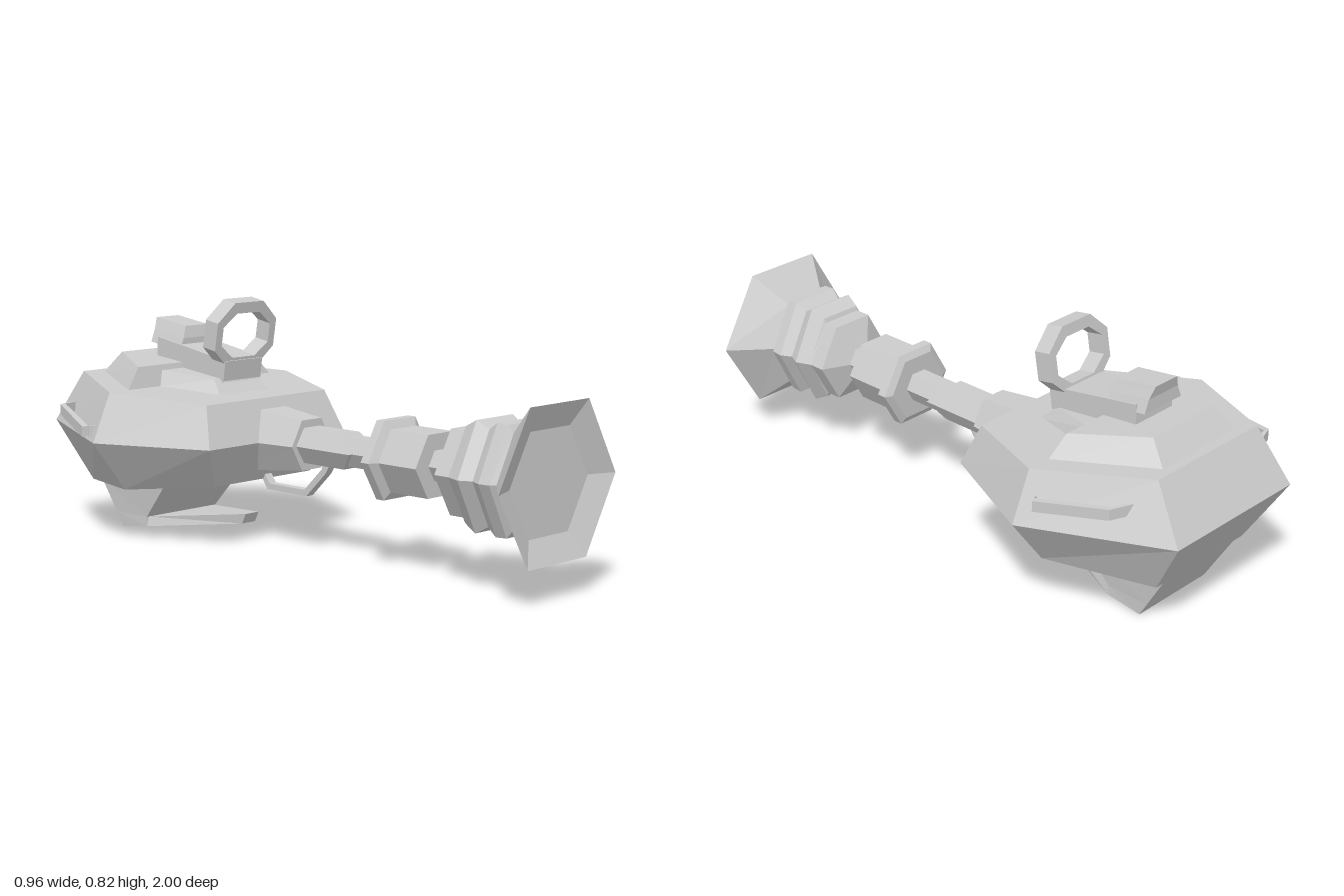
import * as THREE from 'three';

const CX = 0.015, CY = 0.36; // barrel axis

export function createModel() {
  const group = new THREE.Group();
  const mat = new THREE.MeshStandardMaterial({ color: 0xcccccc, flatShading: true, side: THREE.DoubleSide });

  const add = (name, geo) => {
    const mesh = new THREE.Mesh(geo, mat);
    mesh.name = name;
    group.add(mesh);
    return mesh;
  };

  // Skins a row of equal-sized rings, caps both ends and turns faces outward
  function loft(rings) {
    const n = rings[0].length, pos = rings.flat(2), tris = [];
    for (let r = 0; r < rings.length - 1; r++) {
      for (let i = 0; i < n; i++) {
        const a = r * n + i, b = r * n + (i + 1) % n;
        tris.push([a, b, b + n], [a, b + n, a + n]);
      }
    }
    const last = (rings.length - 1) * n;
    for (let i = 1; i < n - 1; i++) {
      tris.push([0, i + 1, i], [last, last + i, last + i + 1]);
    }
    const v = (i) => new THREE.Vector3().fromArray(pos, i * 3);
    const volume = tris.reduce((s, [a, b, c]) => s + v(a).dot(v(b).cross(v(c))), 0);
    const geo = new THREE.BufferGeometry();
    geo.setAttribute('position', new THREE.Float32BufferAttribute(pos, 3));
    geo.setIndex(tris.flatMap(([a, b, c]) => (volume < 0 ? [a, c, b] : [a, b, c])));
    const flat = geo.toNonIndexed();
    flat.computeVertexNormals();
    return flat;
  }

  // Six-sided section across the barrel; points at the sides, flats on top and bottom
  const hex = ([z, rx, ry = rx * 0.866, nose = 0]) => Array.from({ length: 6 }, (_, i) => {
    const a = i * Math.PI / 3;
    return [CX + rx * Math.cos(a), CY + ry * Math.sin(a) / 0.866, z + (i % 3 === 0 ? nose : 0)];
  });
  const hexLoft = (name, profile) => add(name, loft(profile.map(hex)));

  // Mirrors right-hand points [x, y, z] into a closed ring
  const mirrored = (pts) => [...pts, ...pts.map(([x, y, z]) => [-x, y, z]).reverse()];

  // Extrudes a side outline of [z, y] points across x
  function sideExtrude(name, pts, width) {
    const shape = new THREE.Shape(pts.map(([z, y]) => new THREE.Vector2(z, y)));
    const geo = new THREE.ExtrudeGeometry(shape, { depth: width, bevelEnabled: false });
    geo.translate(0, 0, -width / 2).rotateY(-Math.PI / 2).translate(CX, 0, 0);
    return add(name, geo);
  }

  // Flared mouth with shallow recess
  hexLoft('muzzleHorn', [[0.965, 0.185], [1, 0.277], [0.888, 0.15, 0.145]]);

  // Bellows, ending in a taper to the pipe
  hexLoft('bellows', [
    [0.89, 0.15, 0.148], [0.875, 0.168, 0.17], [0.835, 0.17, 0.172], [0.797, 0.15, 0.148],
    [0.755, 0.17, 0.172], [0.706, 0.15, 0.148], [0.7, 0.148, 0.133], [0.645, 0.148, 0.133], [0.604, 0.055],
  ]);

  hexLoft('barrelPipe', [[0.62, 0.055], [-0.1, 0.055]]);
  hexLoft('barrelCollar', [[0.54, 0.115], [0.385, 0.115], [0.37, 0.145], [0.338, 0.145], [0.325, 0.12]]);
  hexLoft('barrelSleeve', [[0.16, 0.071, 0.058, 0.055], [-0.1, 0.071, 0.058]]);
  hexLoft('barrelSocket', [[-0.02, 0.09, 0.083], [-0.24, 0.118, 0.106]]);

  // Faceted main body: floor, waist and shoulder rings
  add('body', loft([
    [[0.22, 0.22, -0.235], [0.348, 0.188, -0.54], [0.21, 0.165, -0.877]],
    [[0.31, 0.36, -0.16], [0.48, 0.36, -0.54], [0.272, 0.37, -1]],
    [[0.272, 0.497, -0.215], [0.408, 0.522, -0.54], [0.235, 0.547, -0.888]],
  ].map(mirrored)));

  // Raised decks on the roof
  add('rearDeck', loft([
    [[0.33, 0.515, -0.54], [0.175, 0.535, -0.86]],
    [[0.265, 0.592, -0.56], [0.143, 0.615, -0.79]],
  ].map(mirrored)));
  add('frontDeck', loft([
    [[0.115, 0.5, -0.32], [0.2, 0.515, -0.57]],
    [[0.095, 0.553, -0.37], [0.17, 0.575, -0.57]],
  ].map(mirrored)));

  // Sight rail and rear sight block
  sideExtrude('sightRail', [[-0.35, 0.54], [-0.39, 0.622], [-0.685, 0.67], [-0.69, 0.56]], 0.17);
  const block = (z, y, w) => [[CX - w, y, z], [CX + w, y, z], [CX + w, y + 0.02, z - 0.15], [CX - w, y + 0.02, z - 0.15]];
  add('rearSight', loft([block(-0.57, 0.63, 0.085), block(-0.57, 0.672, 0.068), block(-0.58, 0.712, 0.05)]));

  // Octagonal ring sight, leaning forward on its stem
  const octagon = (rx, ry) => [[0.48, -1], [1, -0.42], [1, 0.42], [0.48, 1], [-0.48, 1], [-1, 0.42], [-1, -0.42], [-0.48, -1]]
    .map(([x, y]) => new THREE.Vector2(x * rx, y * ry));
  const ring = new THREE.Shape(octagon(0.134, 0.113));
  ring.holes.push(new THREE.Path(octagon(0.106, 0.076)));
  const ringGeo = new THREE.ExtrudeGeometry(ring, { depth: 0.06, bevelEnabled: false });
  ringGeo.translate(0, 0, -0.03).rotateX(0.17).translate(CX, 0.702, -0.361);
  add('ringSight', ringGeo);
  sideExtrude('ringSightStem', [[-0.352, 0.545], [-0.342, 0.612], [-0.405, 0.622], [-0.415, 0.55]], 0.17);

  // Trigger guard
  sideExtrude('triggerGuard', [
    [0.075, 0.3], [0.055, 0.27], [-0.03, 0.187], [-0.215, 0.187], [-0.255, 0.245],
    [-0.235, 0.25], [-0.205, 0.207], [-0.04, 0.207], [0.04, 0.285], [0.045, 0.3],
  ], 0.03);

  // Wedge under the body with a tapering tongue reaching forward
  add('keelWedge', loft([
    [[0.176, 0.23, -0.51], [0.176, 0.21, -0.855]],
    [[0.173, 0.185, -0.535], [0.173, 0.165, -0.875]],
    [[0.16, 0.053, -0.65], [0.163, 0.053, -0.807]],
    [[0.16, 0.02, -0.65], [0.16, 0.003, -0.777]],
  ].map(mirrored)));
  add('keelTongue', loft([
    [[0.03, 0.095, -0.29], [0.03, 0.06, -0.307]],
    [[0.152, 0.053, -0.65], [0.16, 0.02, -0.65]],
  ].map(mirrored)));

  // Carrying handles, one on each flank
  function handle(name, path, depth) {
    const h = 0.018;
    add(name, loft(path.map(([x, y, z, ix, iz]) => [
      [x, y - h, z], [x, y + h, z], [x - ix * depth, y + h, z + iz * depth], [x - ix * depth, y - h, z + iz * depth],
    ])));
  }
  handle('leftHandle', [[0.4, 0.435, -0.575, 0, 1], [0.455, 0.435, -0.595, 1, 0.6], [0.365, 0.455, -0.815, 1, 0.3], [0.29, 0.455, -0.845, 0, 1]], 0.018);
  handle('rightHandle', [[-0.42, 0.393, -0.575, 0, 1], [-0.482, 0.393, -0.595, -1, 0.6], [-0.39, 0.435, -0.825, -1, 0.3], [-0.32, 0.435, -0.85, 0, 1]], 0.018);

  return group;
}
